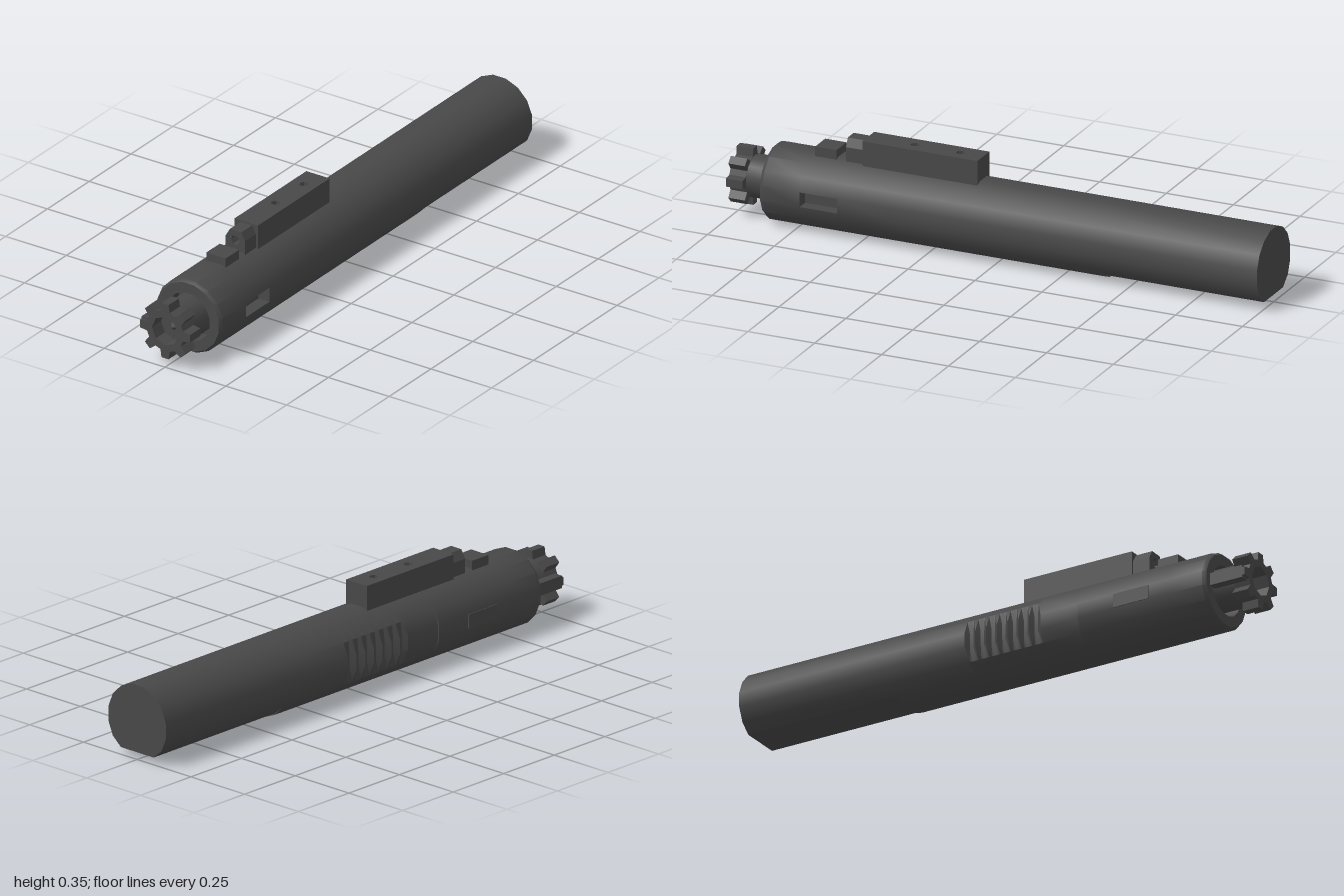
import * as THREE from 'three';
import { toCreasedNormals } from 'three/addons/utils/BufferGeometryUtils.js';

const SIDES = 16, RADIUS = 0.1365, AXIS_Y = 0.135;
const material = new THREE.MeshStandardMaterial({ color: 0x484848 });
const insideMaterial = new THREE.MeshStandardMaterial({ color: 0x484848, side: THREE.BackSide });

function add(parent, name, geometry, x = 0, y = 0, z = 0, mat = material) {
  const mesh = new THREE.Mesh(geometry, mat);
  mesh.name = name;
  mesh.position.set(x, y, z);
  parent.add(mesh);
  return mesh;
}

// Body skin from rings along z: [z, radius, lowest y, lowest x]
function bodyGeometry() {
  const rings = [
    [-1, 0, 0.027, -1], [-1, RADIUS, 0.027, -1],
    [-0.4, RADIUS, 0.027, -1], [-0.4, RADIUS, 0, -1],
  ];
  // grip grooves on the right flank
  for (let i = 0; i < 7; i++) {
    const z = -0.1 + i * 0.043;
    rings.push([z, RADIUS, 0, -1], [z + 0.012, RADIUS, 0, -0.118], [z + 0.026, RADIUS, 0, -0.118]);
  }
  rings.push([0.201, RADIUS, 0, -0.13], [0.35, RADIUS, 0, -0.13], [0.352, RADIUS, 0, -1]);
  const slotRing = rings.length;
  rings.push([0.57, RADIUS, 0, -1], [0.71, RADIUS, 0, -1]);
  // chamfered mouth and front bore
  rings.push([0.85, RADIUS, 0, -1], [0.862, RADIUS - 0.008, 0, -1], [0.862, 0.09, 0, -1], [0.8, 0.09, 0, -1], [0.8, 0, 0, -1]);

  const positions = [], index = [];
  rings.forEach(([z, r, minY, minX], i) => {
    for (let j = 0; j < SIDES; j++) {
      const a = ((j - 0.5) / SIDES) * Math.PI * 2;
      positions.push(
        Math.max(Math.cos(a) * r, minX),
        Math.max(AXIS_Y + Math.sin(a) * r, minY), z);
      if (i === rings.length - 1 || (i === slotRing && j === 0)) continue; // leave the side slot open
      const k = (j + 1) % SIDES;
      const p = i * SIDES + j, q = i * SIDES + k;
      index.push(p, q, q + SIDES, p, q + SIDES, p + SIDES);
    }
  });
  const g = new THREE.BufferGeometry();
  g.setAttribute('position', new THREE.Float32BufferAttribute(positions, 3));
  g.setIndex(index);
  return toCreasedNormals(g, 0.6);
}

function circleHole(shape, x, y, r) {
  shape.holes.push(new THREE.Path().absarc(x, y, r, 0, Math.PI * 2, true));
}

// Ring of eight lugs around a round recess
function lugGeometry() {
  const points = [];
  for (let i = 0; i < 8; i++) {
    const a = (i / 8) * Math.PI * 2;
    for (const [offset, r] of [[-0.25, 0.076], [-0.14, 0.104], [0.14, 0.104], [0.25, 0.076]]) {
      points.push(new THREE.Vector2(Math.cos(a + offset) * r, Math.sin(a + offset) * r));
    }
  }
  const shape = new THREE.Shape(points);
  circleHole(shape, 0, 0, 0.054);
  return new THREE.ExtrudeGeometry(shape, { depth: 0.062, bevelEnabled: false, curveSegments: 4 });
}

// Top block with two screw holes, drawn from above
function topBlockGeometry() {
  const shape = new THREE.Shape([
    new THREE.Vector2(-0.048, -0.515), new THREE.Vector2(0.048, -0.515),
    new THREE.Vector2(0.048, -0.085), new THREE.Vector2(-0.048, -0.085),
  ]);
  for (const z of [0.17, 0.34]) circleHole(shape, 0, -z, 0.016);
  return new THREE.ExtrudeGeometry(shape, { depth: 0.1, bevelEnabled: false, curveSegments: 3 })
    .rotateX(-Math.PI / 2);
}

// Six-sided nozzle with an opening in its front
function nozzleGeometry() {
  const points = [[-0.04, -0.04], [0.04, -0.04], [0.04, 0.012], [0.025, 0.042], [-0.022, 0.042], [-0.04, 0.012]];
  const shape = new THREE.Shape(points.map(([x, y]) => new THREE.Vector2(x, y)));
  circleHole(shape, 0, 0.005, 0.018);
  return new THREE.ExtrudeGeometry(shape, { depth: 0.07, bevelEnabled: false, curveSegments: 3 });
}

export function createModel() {
  const model = new THREE.Group();
  model.name = 'slidingCylinder';

  // Main body, left slot and right-hand raised pad
  add(model, 'body', bodyGeometry());
  add(model, 'sideSlot', new THREE.BoxGeometry(0.045, 0.0533, 0.14), 0.1114, AXIS_Y, 0.64, insideMaterial);
  add(model, 'sidePad', new THREE.BoxGeometry(0.02, 0.05, 0.14), -0.127, 0.135, 0.565);

  // Front head
  const head = new THREE.Group();
  head.name = 'head';
  head.position.y = 0.138;
  model.add(head);
  const neck = new THREE.CylinderGeometry(0.075, 0.075, 0.145, SIDES).rotateX(Math.PI / 2);
  add(head, 'neck', toCreasedNormals(neck, 0.6), 0, 0, 0.8725);
  add(head, 'lugs', lugGeometry(), 0, 0, 0.938);
  add(head, 'sideClaw', new THREE.BoxGeometry(0.044, 0.045, 0.13), -0.082, 0, 0.925);
  const pin = new THREE.ConeGeometry(0.02, 0.025, 5).rotateX(Math.PI / 2);
  add(head, 'centrePin', pin, 0, 0, 0.955);

  // Parts along the top
  add(model, 'topBlock', topBlockGeometry(), 0, 0.25, 0);
  add(model, 'nozzle', nozzleGeometry(), 0, 0.303, 0.51);
  add(model, 'frontStop', new THREE.BoxGeometry(0.08, 0.06, 0.08), 0, 0.268, 0.655);

  return model;
}
